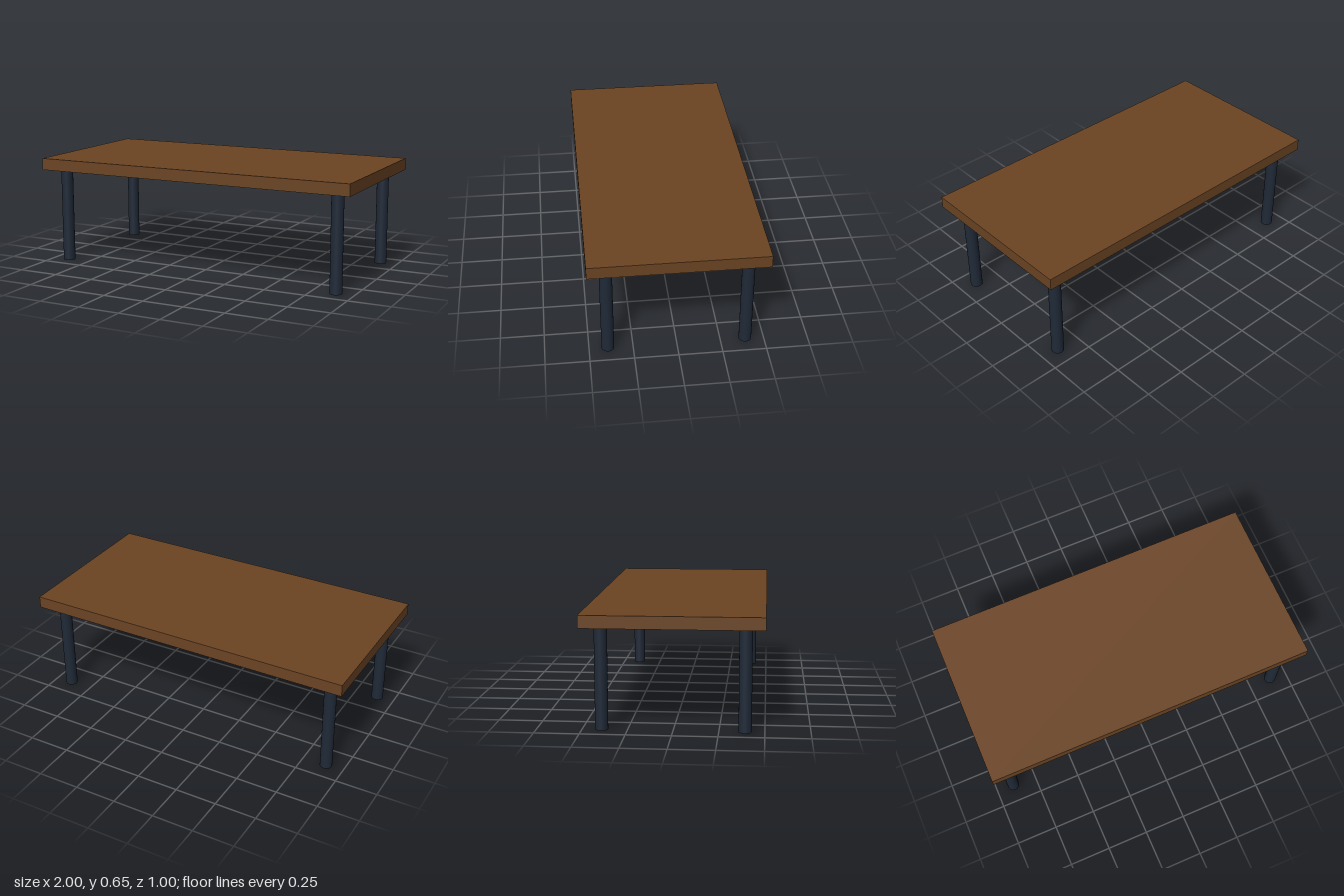
import * as THREE from 'three';

const TOP_THICKNESS = 0.071;
const LEG_HEIGHT = 0.578;
const LEG_RADIUS = 0.036;

export function createModel() {
  const table = new THREE.Group();
  table.name = 'table';

  const wood = new THREE.MeshStandardMaterial({ color: 0x6b4423 });
  wood.name = 'brown wood';
  const metal = new THREE.MeshStandardMaterial({ color: 0x1f2937 });
  metal.name = 'dark slate metal';

  // Rectangular slab top
  const top = new THREE.Mesh(new THREE.BoxGeometry(2, TOP_THICKNESS, 1), wood);
  top.name = 'tableTop';
  top.position.y = LEG_HEIGHT + TOP_THICKNESS / 2;
  table.add(top);

  // Four round legs, one near each corner
  const legGeometry = new THREE.CylinderGeometry(LEG_RADIUS, LEG_RADIUS, LEG_HEIGHT, 32);
  for (const [xSide, xName] of [[1, 'Left'], [-1, 'Right']]) {
    for (const [zSide, zName] of [[1, 'front'], [-1, 'back']]) {
      const leg = new THREE.Mesh(legGeometry, metal);
      leg.name = `${zName}${xName}Leg`;
      leg.position.set(xSide * 0.893, LEG_HEIGHT / 2, zSide * 0.393);
      table.add(leg);
    }
  }

  return table;
}
